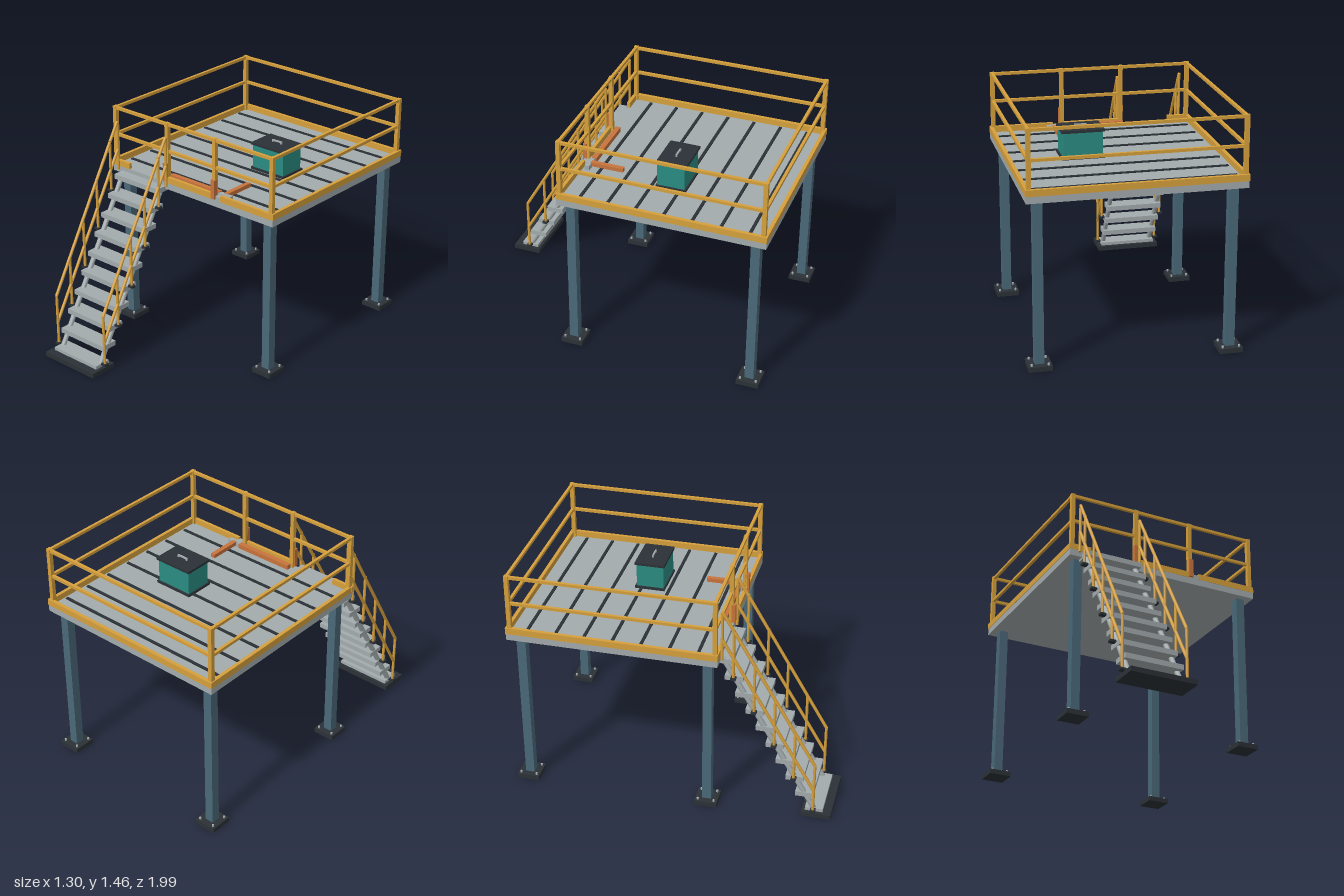
import * as THREE from 'three';

const paint = (name, color) => {
  const m = new THREE.MeshStandardMaterial({ color });
  m.name = name;
  return m;
};

export function createModel() {
  const model = new THREE.Group();
  model.name = 'accessPlatform';
  const grey = paint('galvanised grey', 0xa3abad);
  const yellow = paint('safety yellow', 0xd6a03c);
  const blue = paint('column blue', 0x4a6878);
  const dark = paint('dark steel', 0x2b3136);
  const teal = paint('teal', 0x2a8c82);
  const orange = paint('orange', 0xc8733c);

  const add = (name, geo, mat, x, y, z) => {
    const m = new THREE.Mesh(geo, mat);
    m.name = name;
    m.position.set(x, y, z);
    model.add(m);
    return m;
  };
  // box given by its lower and upper limits on each axis
  const box = (name, mat, x0, x1, y0, y1, z0, z1) =>
    add(name, new THREE.BoxGeometry(x1 - x0, y1 - y0, z1 - z0), mat,
      (x0 + x1) / 2, (y0 + y1) / 2, (z0 + z1) / 2);
  // round tube between two points
  const up = new THREE.Vector3(0, 1, 0);
  const tube = (name, mat, r, a, b) => {
    const p = new THREE.Vector3(...a), q = new THREE.Vector3(...b);
    const d = q.clone().sub(p);
    const mid = p.clone().add(q).multiplyScalar(0.5);
    const m = add(name, new THREE.CylinderGeometry(r, r, d.length(), 12), mat, mid.x, mid.y, mid.z);
    m.quaternion.setFromUnitVectors(up, d.normalize());
  };

  // columns with base plates and anchor bolts
  for (const x of [-0.572, 0.572]) for (const z of [0.23, -0.915]) {
    box('column', blue, x - 0.028, x + 0.028, 0.03, 1.026, z - 0.028, z + 0.028);
    box('basePlate', dark, x - 0.07, x + 0.07, 0, 0.03, z - 0.07, z + 0.07);
    for (const i of [-1, 1]) for (const j of [-1, 1])
      add('anchorBolt', new THREE.CylinderGeometry(0.007, 0.007, 0.013, 8), grey,
        x + i * 0.05, 0.036, z + j * 0.05);
  }

  // deck and the dark joints between its planks
  box('deck', grey, -0.645, 0.645, 1.026, 1.07, -0.99, 0.3);
  for (let i = 0; i < 7; i++) {
    const z = -0.875 + i * 0.1745;
    box('deckJoint', dark, -0.61, 0.61, 1.069, 1.077, z - 0.009, z + 0.009);
  }

  // toe boards, with gaps along the front
  for (const s of [-1, 1])
    box('sideToeBoard', yellow, s * 0.637 - 0.011, s * 0.637 + 0.011, 1.068, 1.108, -0.992, 0.3);
  box('backToeBoard', yellow, -0.645, 0.645, 1.068, 1.107, -0.993, -0.971);
  for (const [a, b] of [[-0.65, -0.505], [-0.195, 0.175], [0.245, 0.63]])
    box('frontToeBoard', yellow, a, b, 1.068, 1.107, 0.281, 0.302);

  // guard rail posts and rails
  const post = (x, z) => box('railPost', yellow, x - 0.013, x + 0.013, 1.07, 1.457, z - 0.013, z + 0.013);
  for (const x of [-0.628, -0.193, 0.188, 0.625]) post(x, 0.283);
  for (const x of [-0.628, 0.625]) post(x, -0.968);
  for (const y of [1.446, 1.272]) {
    const [y0, y1] = [y - 0.009, y + 0.009];
    for (const z of [0.283, -0.968])
      box('crossRail', yellow, -0.628, 0.625, y0, y1, z - 0.009, z + 0.009);
    for (const x of [-0.628, 0.625])
      box('sideRail', yellow, x - 0.009, x + 0.009, y0, y1, -0.968, 0.283);
  }

  // gate parts: low bars, hinge block and post brackets
  box('gateBar', orange, -0.2, 0.195, 1.075, 1.105, 0.225, 0.257);
  box('gateArm', orange, 0.225, 0.255, 1.08, 1.105, 0.03, 0.24);
  box('hingeBlock', grey, 0.175, 0.29, 1.07, 1.1, 0.235, 0.266);
  box('hingeTab', grey, 0.205, 0.245, 1.07, 1.095, 0.266, 0.3);
  for (const x of [-0.196, 0.19])
    box('gateBracket', orange, x - 0.015, x + 0.015, 1.075, 1.196, 0.285, 0.31);

  // equipment box on the deck
  box('cabinetBase', dark, 0.06, 0.32, 1.07, 1.085, -0.392, -0.203);
  box('cabinetBody', teal, 0.07, 0.31, 1.085, 1.235, -0.382, -0.21);
  box('cabinetLid', dark, 0.06, 0.32, 1.233, 1.248, -0.392, -0.203);
  box('cabinetHandle', grey, 0.152, 0.228, 1.255, 1.264, -0.304, -0.294);
  for (const x of [0.157, 0.223])
    box('handleFoot', grey, x - 0.005, x + 0.005, 1.246, 1.257, -0.304, -0.294);

  // stair treads, stringers and landing plate
  box('stairBasePlate', dark, -0.592, -0.176, 0, 0.03, 0.818, 1);
  for (let i = 0; i < 10; i++) {
    const y = 0.035 + i * 0.1103, z = 0.893 - i * 0.0638;
    box('tread', grey, -0.567, -0.2, y - 0.016, y + 0.016, z - 0.055, z + 0.055);
  }
  for (const x of [-0.55, -0.219])
    tube('stringer', grey, 0.016, [x, 0.025, 0.9], [x, 1.04, 0.312]);

  // stair handrails
  for (const x of [-0.588, -0.181]) {
    for (let i = 0; i < 5; i++) {
      const y = 0.05 + i * 0.2206, z = 0.89 - i * 0.1265;
      tube('stairPost', yellow, 0.009, [x, y, z], [x, y + 0.335, z]);
      box('postClamp', dark, x - 0.018, x + 0.018, y - 0.007, y + 0.007, z - 0.016, z + 0.016);
    }
    tube('topStairPost', yellow, 0.009, [x, 1.05, 0.315], [x, 1.372, 0.315]);
    for (const drop of [0, 0.185])
      tube('handrail', yellow, 0.01, [x, 0.385 - drop, 0.89], [x, 1.372 - drop, 0.315]);
  }
  return model;
}
